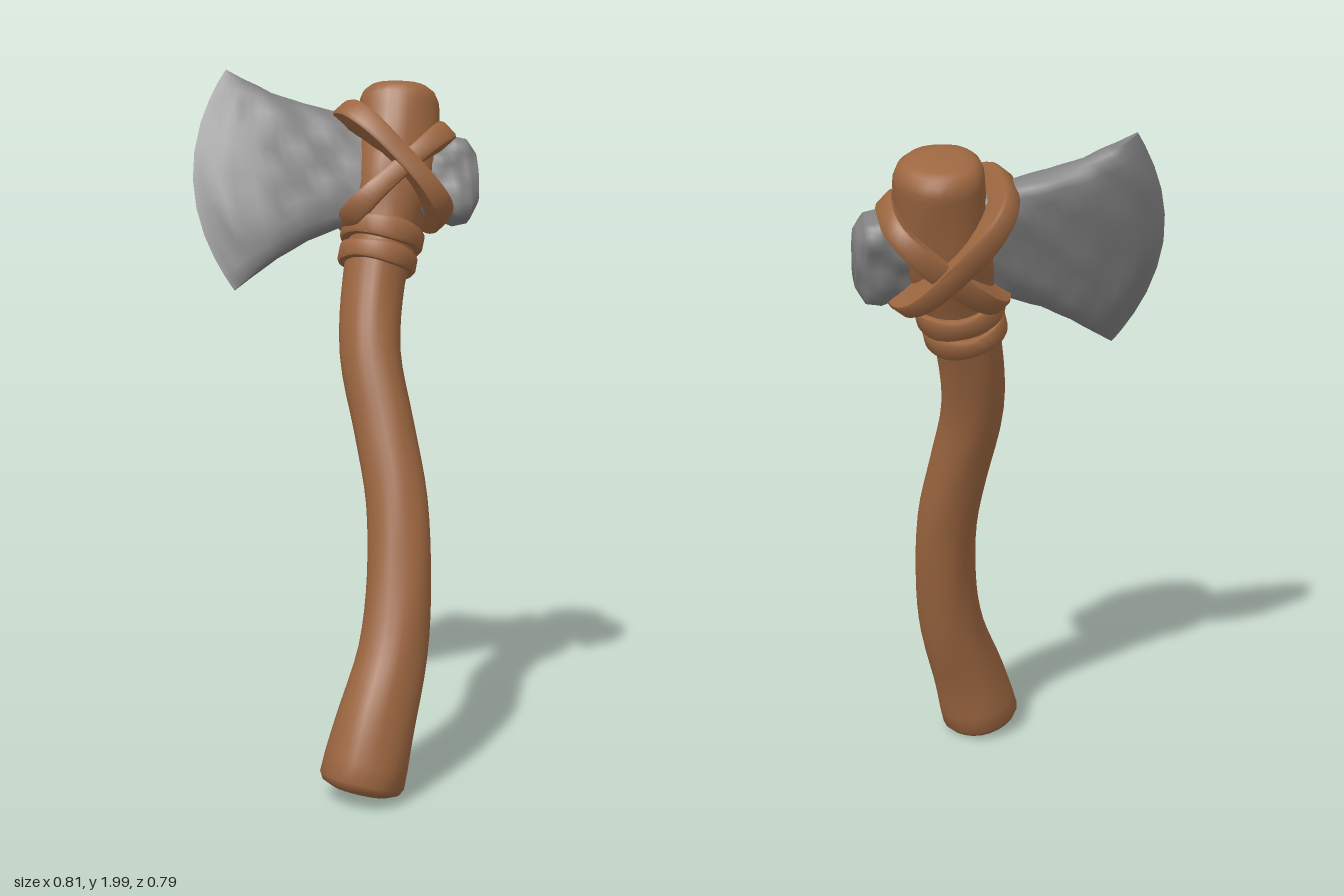
import * as THREE from 'three';
import { toCreasedNormals } from 'three/addons/utils/BufferGeometryUtils.js';

const V = (x, y, z) => new THREE.Vector3(x, y, z);
const wood = new THREE.MeshStandardMaterial({ color: 0x9c6640 });
wood.name = 'brown wood and hide';
const stone = new THREE.MeshStandardMaterial({ color: 0x808080 });
stone.name = 'grey stone';

// Skins a list of rings (counterclockwise about the direction of travel)
function loft(rings, closed, crease) {
  const n = rings[0].length, m = rings.length, pos = [], idx = [];
  rings.forEach(r => r.forEach(p => pos.push(p.x, p.y, p.z)));
  for (let i = 0; i < (closed ? m : m - 1); i++) {
    for (let j = 0; j < n; j++) {
      const k = (j + 1) % n, i2 = (i + 1) % m;
      const a = i * n + j, b = i * n + k, c = i2 * n + k, d = i2 * n + j;
      idx.push(a, b, c, a, c, d);
    }
  }
  if (!closed) {
    [0, m - 1].forEach(i => {
      const mid = rings[i].reduce((s, p) => s.add(p), V(0, 0, 0)).divideScalar(n);
      const c = pos.length / 3;
      pos.push(mid.x, mid.y, mid.z);
      for (let j = 0; j < n; j++) {
        const a = i * n + j, b = i * n + (j + 1) % n;
        if (i === 0) idx.push(c, b, a); else idx.push(c, a, b);
      }
    });
  }
  const g = new THREE.BufferGeometry();
  g.setAttribute('position', new THREE.Float32BufferAttribute(pos, 3));
  g.setIndex(idx);
  return toCreasedNormals(g, crease);
}

function part(name, geometry, material) {
  const mesh = new THREE.Mesh(geometry, material);
  mesh.name = name;
  return mesh;
}

// Flat strap swept round a rounded loop spanned by D and N, with a web reaching inward
function strap(name, C, D, N, power, width, inward) {
  const W = N.clone().cross(D).normalize(), rings = [], steps = 48;
  const pw = (x, p) => Math.sign(x) * Math.abs(x) ** p;
  const at = a => C.clone().addScaledVector(D, pw(Math.cos(a), power)).addScaledVector(N, pw(Math.sin(a), power));
  for (let i = 0; i < steps; i++) {
    const a = (i + 0.5) / steps * Math.PI * 2;
    const T = at(a + 0.04).sub(at(a - 0.04)).normalize();
    const R = W.clone().cross(T), P = at(a), ring = [];
    const wob = 1 + 0.1 * Math.sin(3 * a + C.x * 40);
    for (let j = 0; j < 8; j++) {
      const b = (j + 0.5) / 8 * Math.PI * 2, c = pw(Math.cos(b), 0.5);
      ring.push(P.clone()
        .addScaledVector(R, c > 0 ? c * 0.015 : c * inward)
        .addScaledVector(W, pw(Math.sin(b), 0.4) * width / 2 * wob));
    }
    rings.push(ring);
  }
  return part(name, loft(rings, true, 0.9), wood);
}

// Bent handle: centre x, y, z and radius
const spine = [
  [0.085, 0.032, 0.285, 0.122], [0.122, 0.2, 0.247, 0.11], [0.17, 0.4, 0.18, 0.096],
  [0.188, 0.6, 0.124, 0.089], [0.182, 0.8, 0.071, 0.086], [0.145, 1.0, 0.014, 0.085],
  [0.107, 1.2, -0.044, 0.086], [0.113, 1.4, -0.115, 0.089], [0.14, 1.55, -0.167, 0.1],
  [0.165, 1.7, -0.216, 0.122], [0.176, 1.83, -0.257, 0.117], [0.178, 1.942, -0.291, 0.114],
];
const path = new THREE.CatmullRomCurve3(spine.map(p => V(p[0], p[1], p[2])));
const radius = new THREE.CatmullRomCurve3(spine.map(p => V(p[3], 0, 0)));

function frameAt(t) {
  const T = path.getTangent(t);
  const S = V(1, 0, 0).addScaledVector(T, -T.x).normalize();
  return { P: path.getPoint(t), S, F: T.clone().cross(S) };
}

function makeHandle() {
  const stops = [[0, 0.65], [0.006, 0.88], [0.016, 0.98]];
  for (let i = 2; i < 43; i++) stops.push([i / 44, 1]);
  stops.push([0.968, 0.99], [0.985, 0.92], [0.996, 0.78], [1, 0.55]);
  const rings = stops.map(([t, k]) => {
    const { P, S, F } = frameAt(t), r = radius.getPoint(t).x * k;
    return Array.from({ length: 24 }, (_, j) => {
      const a = j / 24 * Math.PI * 2;
      const q = r * (1 + 0.025 * Math.sin(3 * a + 9 * t) + 0.012 * Math.sin(5 * a - 25 * t));
      return P.clone().addScaledVector(S, q * Math.cos(a)).addScaledVector(F, q * Math.sin(a));
    });
  });
  return part('handle', loft(rings, false, 0.9), wood);
}

// Head sections from poll to cutting edge: x, corner bow, centre y, half height, half thickness
const sections = [
  [0.232, 0, -0.03, 0.075, 0.05], [0.205, 0, -0.035, 0.118, 0.066], [0.165, 0, -0.035, 0.126, 0.07],
  [0.12, 0, -0.04, 0.1, 0.066],
  [0, 0, -0.02, 0.13, 0.06], [-0.15, 0, 0.003, 0.162, 0.055], [-0.27, 0.01, -0.005, 0.198, 0.056],
  [-0.38, 0.03, -0.015, 0.24, 0.055], [-0.5, 0.075, -0.022, 0.288, 0.04], [-0.58, 0.105, -0.025, 0.325, 0.009],
];

function makeHead() {
  const rings = [], sub = 4, n = 12;
  for (let i = 0; i <= (sections.length - 1) * sub; i++) {
    const s = Math.min(Math.floor(i / sub), sections.length - 2), f = i / sub - s;
    const [x, bow, yc, h, th] = sections[s].map((q, k) => THREE.MathUtils.lerp(q, sections[s + 1][k], f));
    const ring = [];
    [1, -1].forEach(side => {
      for (let j = 0; j <= n; j++) {
        const v = side * Math.sin((j / n - 0.5) * Math.PI);
        const px = x + bow * v * v, py = yc + h * v;
        // chipped, hammered dents
        const dent = 1 + 0.11 * Math.sin(43 * px + 3 * side) * Math.sin(37 * py + 11 * px)
          + 0.05 * Math.sin(71 * py - 40 * px);
        const t = th * (0.36 + 0.64 * Math.sqrt(1 - v ** 4)) * dent;
        ring.push(V(px, py, side * t));
      }
    });
    rings.push(ring);
  }
  return part('axeHead', loft(rings, false, 0.8), stone);
}

export function createModel() {
  const model = new THREE.Group();
  model.name = 'axe';
  model.add(makeHandle());

  // Head and crossed lashings, leaning with the handle
  const head = new THREE.Group();
  head.name = 'headAssembly';
  const X = V(0.981, 0, -0.19).normalize();
  const N = X.clone().cross(V(0, 0.945, -0.335)).normalize();
  head.quaternion.setFromRotationMatrix(new THREE.Matrix4().makeBasis(X, N.clone().cross(X), N));
  head.position.set(0.17, 1.71, -0.216);
  head.add(makeHead());
  [['lashingOverBlade', -0.152, 0.166, 0.125, -0.152, 0.145],
    ['lashingOverPoll', 0.15, 0.1, -0.152, -0.158, 0.133]].forEach(([name, x1, y1, x2, y2, depth]) => {
    head.add(strap(name, V((x1 + x2) / 2, (y1 + y2) / 2, 0),
      V((x1 - x2) / 2, (y1 - y2) / 2, 0), V(0, 0, depth), 0.72, 0.06, 0.08));
  });
  model.add(head);

  // Binding bands below the head
  [['lowerBand', 0.672, 0.098, 0.055], ['upperBand', 0.712, 0.105, 0.06]].forEach(([name, t, r, w]) => {
    const { P, S, F } = frameAt(t);
    model.add(strap(name, P, S.multiplyScalar(r), F.multiplyScalar(r), 1, w, 0.03));
  });
  return model;
}
